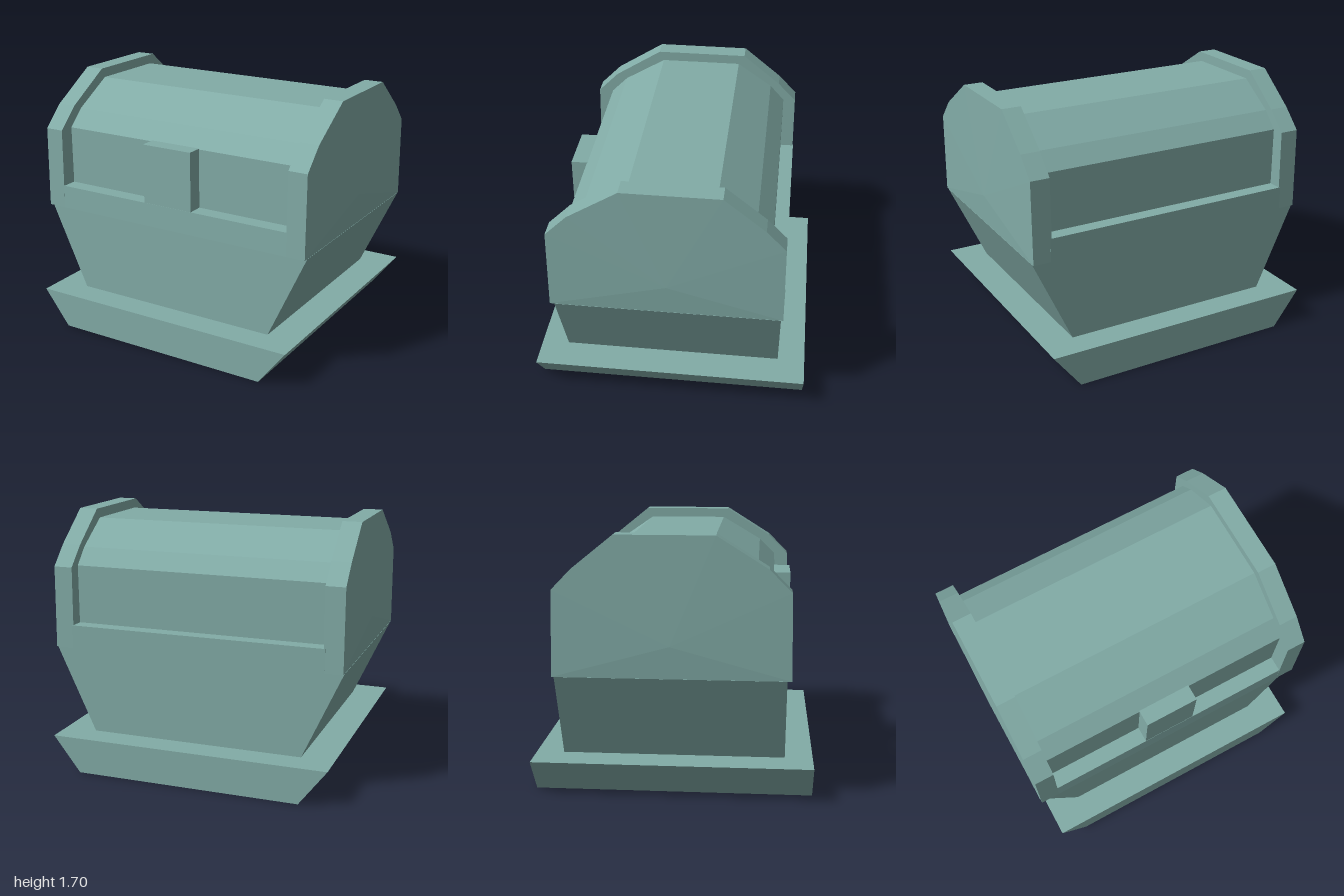
import * as THREE from 'three';

const teal = new THREE.MeshStandardMaterial({ color: 0x82aca7 });
teal.name = 'dusty teal';

function add(group, name, geometry) {
  const mesh = new THREE.Mesh(geometry, teal);
  mesh.name = name;
  group.add(mesh);
  return mesh;
}

// Prism of an (x, y) outline, running from z0 to z1
function prismZ(outline, z0, z1) {
  const shape = new THREE.Shape(outline.map(([x, y]) => new THREE.Vector2(x, y)));
  return new THREE.ExtrudeGeometry(shape, { depth: z1 - z0, bevelEnabled: false }).translate(0, 0, z0);
}

// Prism of a (z, y) outline, running from x0 to x1
function prismX(outline, x0, x1) {
  return prismZ(outline.map(([z, y]) => [-z, y]), x0, x1).rotateY(Math.PI / 2);
}

// Symmetric trapezoid outline
const trapezoid = (w0, y0, w1, y1) => [[-w0, y0], [w0, y0], [w1, y1], [-w1, y1]];

// Shallow faceted fan over a (z, y) outline, rising to a point at the middle
function bulge(outline, side, rimX, apex) {
  const positions = [];
  outline.forEach(([z, y], i) => {
    const [zn, yn] = outline[(i + 1) % outline.length];
    const a = [side * rimX, y, z];
    const b = [side * rimX, yn, zn];
    positions.push(...(side > 0 ? [...b, ...a] : [...a, ...b]), side * apex[0], apex[1], apex[2]);
  });
  const geometry = new THREE.BufferGeometry();
  geometry.setAttribute('position', new THREE.Float32BufferAttribute(positions, 3));
  geometry.computeVertexNormals();
  return geometry;
}

export function createModel() {
  const model = new THREE.Group();
  model.name = 'chest';

  // Flared plinth and tapered lower body
  add(model, 'plinth', prismZ(trapezoid(0.76, 0, 0.945, 0.24), -0.9, 0.9));
  add(model, 'lowerBody', prismZ(trapezoid(0.725, 0.24, 0.99, 0.815), -0.72, 0.72));

  // Rim that forms the ledge at front and back
  add(model, 'rim', prismX([[0.75, 0.815], [0.745, 0.97], [-0.735, 0.97], [-0.735, 0.815]], -0.87, 0.87));

  // Recessed barrel lid
  const lid = [
    [0.64, 0.96], [0.64, 1.36], [0.53, 1.47], [0.25, 1.635],
    [-0.3, 1.635], [-0.54, 1.47], [-0.64, 1.36], [-0.64, 0.96],
  ];
  add(model, 'lid', prismX(lid, -0.87, 0.87));

  // Raised end caps with slightly bulging outer faces
  const cap = [
    [0.75, 0.815], [0.74, 1.36], [0.6, 1.5], [0.28, 1.7],
    [-0.34, 1.7], [-0.6, 1.49], [-0.725, 1.36], [-0.735, 0.815],
  ];
  for (const side of [-1, 1]) {
    const end = new THREE.Group();
    end.name = side > 0 ? 'leftEndCap' : 'rightEndCap';
    const [x0, x1] = side > 0 ? [0.86, 0.988] : [-0.988, -0.86];
    add(end, 'capSlab', prismX(cap, x0, x1));
    add(end, 'capFace', bulge(cap, side, 0.988, [1, 1.02, 0]));
    model.add(end);
  }

  // Front latch block
  add(model, 'latch', new THREE.BoxGeometry(0.36, 0.4, 0.115).translate(-0.01, 1.165, 0.686));

  return model;
}
